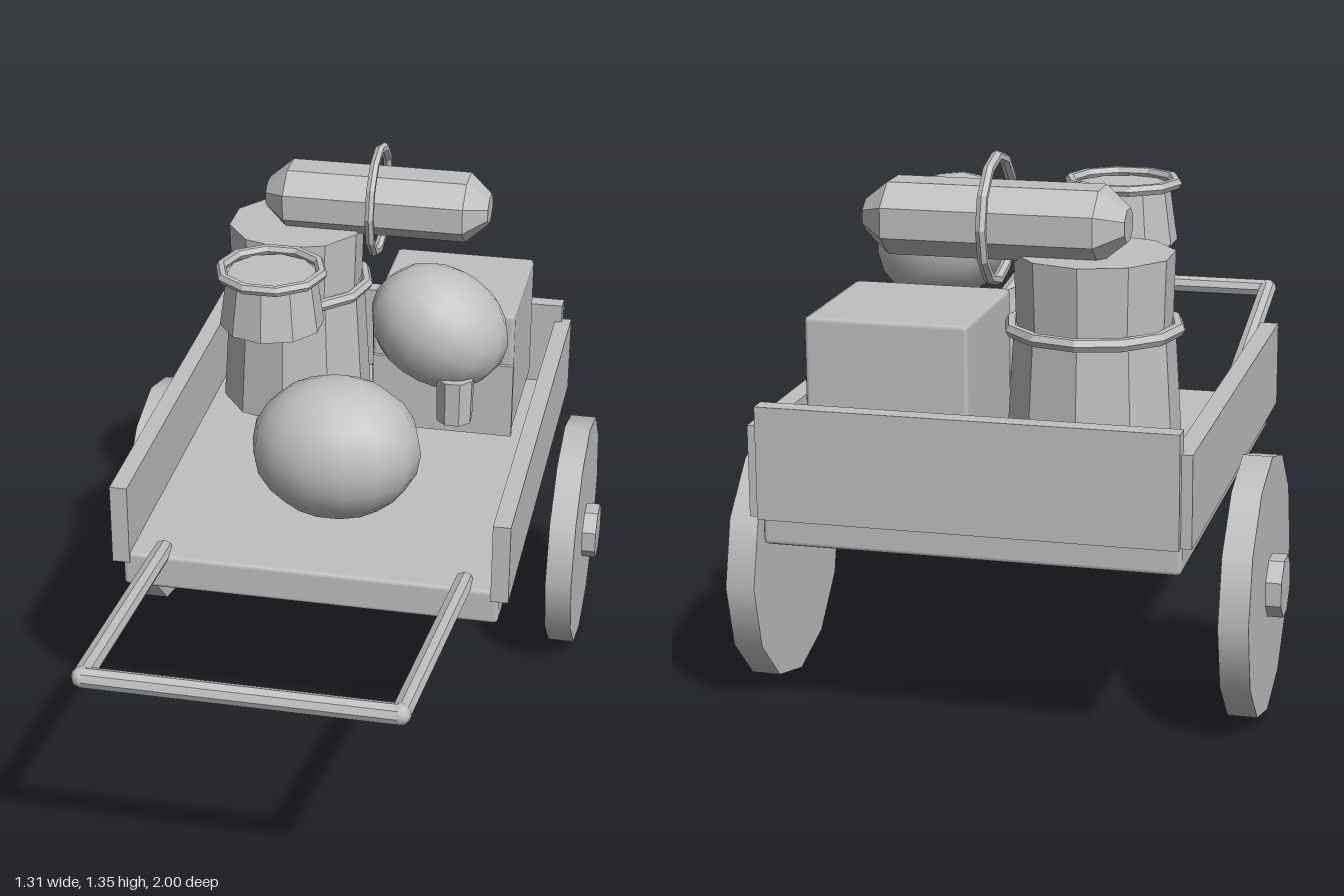
import * as THREE from 'three';
import { toCreasedNormals } from 'three/addons/utils/BufferGeometryUtils.js';
import { RoundedBoxGeometry } from 'three/addons/geometries/RoundedBoxGeometry.js';

export function createModel() {
  const root = new THREE.Group();
  const grey = new THREE.MeshStandardMaterial({ color: 0xc0c0c0 });
  grey.name = 'plain grey';

  const add = (name, geometry, x = 0, y = 0, z = 0) => {
    const mesh = new THREE.Mesh(geometry, grey);
    mesh.name = name;
    mesh.position.set(x, y, z);
    root.add(mesh);
    return mesh;
  };
  const facet = (g) => toCreasedNormals(g, 0.2);
  // Box given by its two extremes on each axis
  const block = (name, [x0, x1], [y0, y1], [z0, z1], bevel = 0) => {
    const s = [x1 - x0, y1 - y0, z1 - z0];
    const g = bevel ? new RoundedBoxGeometry(...s, 1, bevel) : new THREE.BoxGeometry(...s);
    return add(name, g, (x0 + x1) / 2, (y0 + y1) / 2, (z0 + z1) / 2);
  };
  // Eight-sided rod between two points
  const rod = (name, a, b, r) => {
    const p = new THREE.Vector3(...a), q = new THREE.Vector3(...b);
    const d = q.clone().sub(p);
    const m = add(name, facet(new THREE.CylinderGeometry(r, r, d.length(), 8)));
    m.position.copy(p).add(q).multiplyScalar(0.5);
    m.quaternion.setFromUnitVectors(new THREE.Vector3(0, 1, 0), d.normalize());
    return m;
  };
  const hoop = (name, r, tube, sides, x, y, z) =>
    add(name, facet(new THREE.TorusGeometry(r, tube, 6, sides)), x, y, z);

  // Cart body
  block('bed', [-0.485, 0.485], [0.47, 0.565], [-0.97, 0.235], 0.012);
  block('backWall', [-0.485, 0.485], [0.54, 0.805], [-1.0, -0.955]);

  // Mirrored side walls, wheels, hubs and handle shafts
  for (const s of [1, -1]) {
    block('sideWall', s > 0 ? [0.465, 0.51] : [-0.51, -0.465], [0.54, 0.755], [-0.98, 0.24]);
    const wheel = add('wheel', new THREE.CylinderGeometry(0.315, 0.315, 0.07, 12), s * 0.585, 0.318, -0.55);
    wheel.rotation.z = Math.PI / 2;
    const hubShape = facet(new THREE.CylinderGeometry(0.075, 0.075, 0.05, 8).rotateY(Math.PI / 8));
    const hub = add('hub', hubShape, s * 0.632, 0.318, -0.55);
    hub.rotation.z = Math.PI / 2;
    rod('handleShaft', [s * 0.39, 0.555, 0.18], [s * 0.368, 0.675, 0.972], 0.025);
    add('handleCorner', new THREE.SphereGeometry(0.026, 8, 6), s * 0.368, 0.675, 0.97);
  }
  rod('handleGrip', [-0.368, 0.675, 0.97], [0.368, 0.675, 0.97], 0.025);

  // Tall can with a hoop at its shoulder
  add('canBody', facet(new THREE.CylinderGeometry(0.185, 0.207, 0.35, 10)), -0.222, 0.785, -0.668);
  add('canNeck', facet(new THREE.CylinderGeometry(0.185, 0.18, 0.165, 10)), -0.222, 1.0425, -0.668);
  hoop('canHoop', 0.195, 0.016, 12, -0.222, 0.955, -0.672).rotation.x = Math.PI / 2;

  // Chest with a raised lower front panel
  block('chest', [0.025, 0.41], [0.63, 0.985], [-0.868, -0.48], 0.012);
  block('chestPanel', [0.03, 0.412], [0.63, 0.84], [-0.485, -0.47]);

  // Bedroll: octagonal roll with tapered ends, ringed by a loop
  const profile = [[0, -0.305], [0.05, -0.305], [0.113, -0.245], [0.113, 0.245], [0.05, 0.305], [0, 0.305]]
    .map(([r, h]) => new THREE.Vector2(r, h));
  const rollShape = new THREE.LatheGeometry(profile, 8).rotateY(Math.PI / 8)
    .rotateZ(Math.PI / 2).scale(1, 0.8, 1.03);
  add('roll', facet(rollShape), 0, 1.195, -0.695);
  hoop('rollLoop', 0.143, 0.013, 12, 0, 1.197, -0.695).rotation.y = Math.PI / 2;

  // Large round sack
  const sack = add('largeSack', new THREE.SphereGeometry(0.19, 14, 10), 0, 0.737, -0.122);
  sack.scale.set(1.18, 1, 1);

  // Smaller tilted sack with a stub beneath
  const small = add('smallSack', new THREE.SphereGeometry(0.155, 14, 10), 0.245, 1.052, -0.245);
  small.scale.set(1.2, 0.98, 1);
  small.rotation.z = -0.5;
  add('sackStub', facet(new THREE.CylinderGeometry(0.05, 0.047, 0.12, 8).rotateY(Math.PI / 8)), 0.303, 0.895, -0.155);

  // Flared pot with a rolled rim
  add('pot', facet(new THREE.CylinderGeometry(0.115, 0.135, 0.14, 10)), -0.183, 1.12, -0.185);
  hoop('potRim', 0.132, 0.014, 10, -0.183, 1.196, -0.183).rotation.x = Math.PI / 2;

  return root;
}
